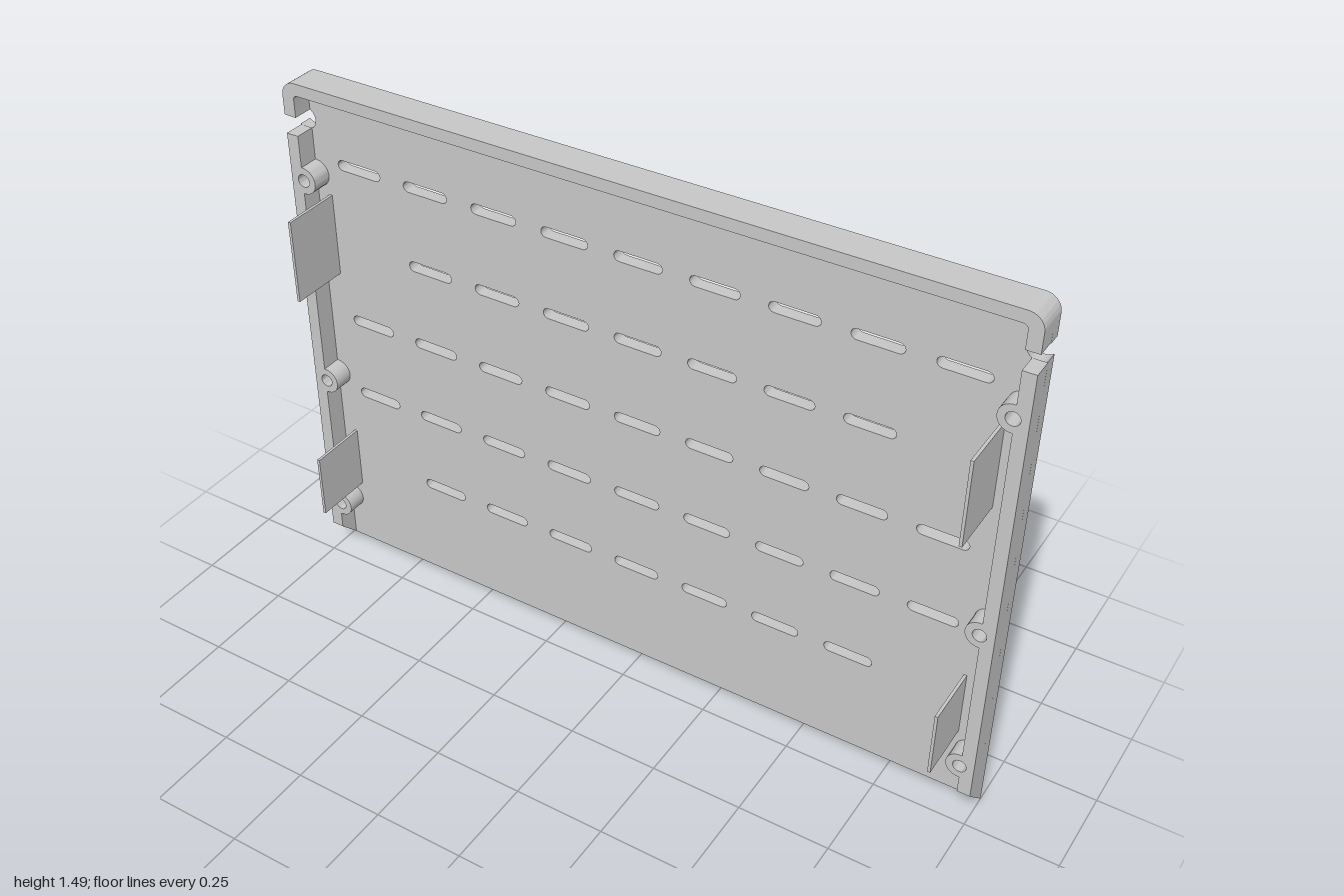
import * as THREE from 'three';
import { toCreasedNormals } from 'three/addons/utils/BufferGeometryUtils.js';

const BACK = -0.1, FACE = -0.065, RIM = -0.01; // depths of back, inner face and rim front
const TOP = 1.492, INNER = 0.965, CORNER = 0.04;
const SCREW_X = 0.962, SCREW_Y = [1.222, 0.606, 0.176];

// Points along an arc, angles in degrees
function arc(cx, cy, r, a0, a1, n = 12) {
  return Array.from({ length: n + 1 }, (_, i) => {
    const a = THREE.MathUtils.degToRad(a0 + (a1 - a0) * i / n);
    return new THREE.Vector2(cx + r * Math.cos(a), cy + r * Math.sin(a));
  });
}
const pt = (x, y) => new THREE.Vector2(x, y);
const mirror = (points) => points.map((p) => pt(-p.x, p.y)).reverse();
const circle = (x, y, r) => new THREE.Path(arc(x, y, r, 0, 360, 24).slice(0, -1));

// Extrude in z and slope the bottom edge at 45 degrees
function extrude(shape, z0, z1) {
  const g = new THREE.ExtrudeGeometry(shape, { depth: z1 - z0, bevelEnabled: false });
  g.translate(0, 0, z0);
  const p = g.attributes.position;
  for (let i = 0; i < p.count; i++) {
    if (p.getY(i) < 0.001) p.setY(i, p.getZ(i) - BACK);
  }
  return toCreasedNormals(g, 0.6);
}

export function createModel() {
  const model = new THREE.Group();
  model.name = 'ventedPanel';
  const grey = new THREE.MeshStandardMaterial({ color: 0xc6c6c6 });
  grey.name = 'lightGrey';
  const add = (name, geometry) => {
    const mesh = new THREE.Mesh(geometry, grey);
    mesh.name = name;
    model.add(mesh);
    return mesh;
  };

  // Back plate outline with round side notches and rounded top corners
  const half = [
    pt(1, 0),
    ...arc(0.98, 1.372, 0.03, -48, -312, 18),
    ...arc(1 - CORNER, TOP - CORNER, CORNER, 0, 90),
  ];
  const plate = new THREE.Shape([...half, ...mirror(half)]);

  // Rows of ventilation slots
  const rows = [[1.265, 9], [1.035, 7], [0.8, 9], [0.565, 9], [0.333, 7]];
  for (const [y, count] of rows) {
    for (let i = 0; i < count; i++) {
      const x = (i - (count - 1) / 2) * 0.206;
      plate.holes.push(new THREE.Path([
        ...arc(x + 0.052, y, 0.0145, -90, 90, 8),
        ...arc(x - 0.052, y, 0.0145, 90, 270, 8),
      ]));
    }
  }
  // Screw recesses in the back
  for (const s of [-1, 1]) {
    for (const y of SCREW_Y) plate.holes.push(circle(s * SCREW_X, y, 0.03));
  }
  add('backPlate', extrude(plate, BACK, FACE));

  // Top rim, turning down at both ends
  const hook = [
    pt(INNER, 1.398), pt(1, 1.398),
    ...arc(1 - CORNER, TOP - CORNER, CORNER, 0, 90),
  ];
  const inside = arc(INNER - 0.012, 1.459 - 0.012, 0.012, 90, 0, 5);
  add('topRim', extrude(new THREE.Shape([
    ...hook, ...mirror(hook), ...mirror(inside), ...inside,
  ]), FACE, RIM));

  // Side rims with screw bosses, and mounting tabs
  for (const s of [1, -1]) {
    const side = s > 0 ? 'left' : 'right';
    const outline = [pt(INNER, 0), pt(1, 0), pt(1, 1.347), pt(INNER, 1.347)];
    for (const y of SCREW_Y) outline.push(...arc(SCREW_X, y, 0.037, 85, 275, 16));
    const rim = new THREE.Shape(s > 0 ? outline : mirror(outline));
    for (const y of SCREW_Y) rim.holes.push(circle(s * SCREW_X, y, 0.018));
    add(side + 'Rim', extrude(rim, FACE, RIM));

    for (const [name, y0, y1] of [['UpperTab', 0.933, 1.167], ['LowerTab', 0.233, 0.418]]) {
      const tab = add(side + name, new THREE.BoxGeometry(0.008, y1 - y0, 0.1 - FACE));
      tab.position.set(s * 0.925, (y0 + y1) / 2, (0.1 + FACE) / 2);
    }
  }
  return model;
}
